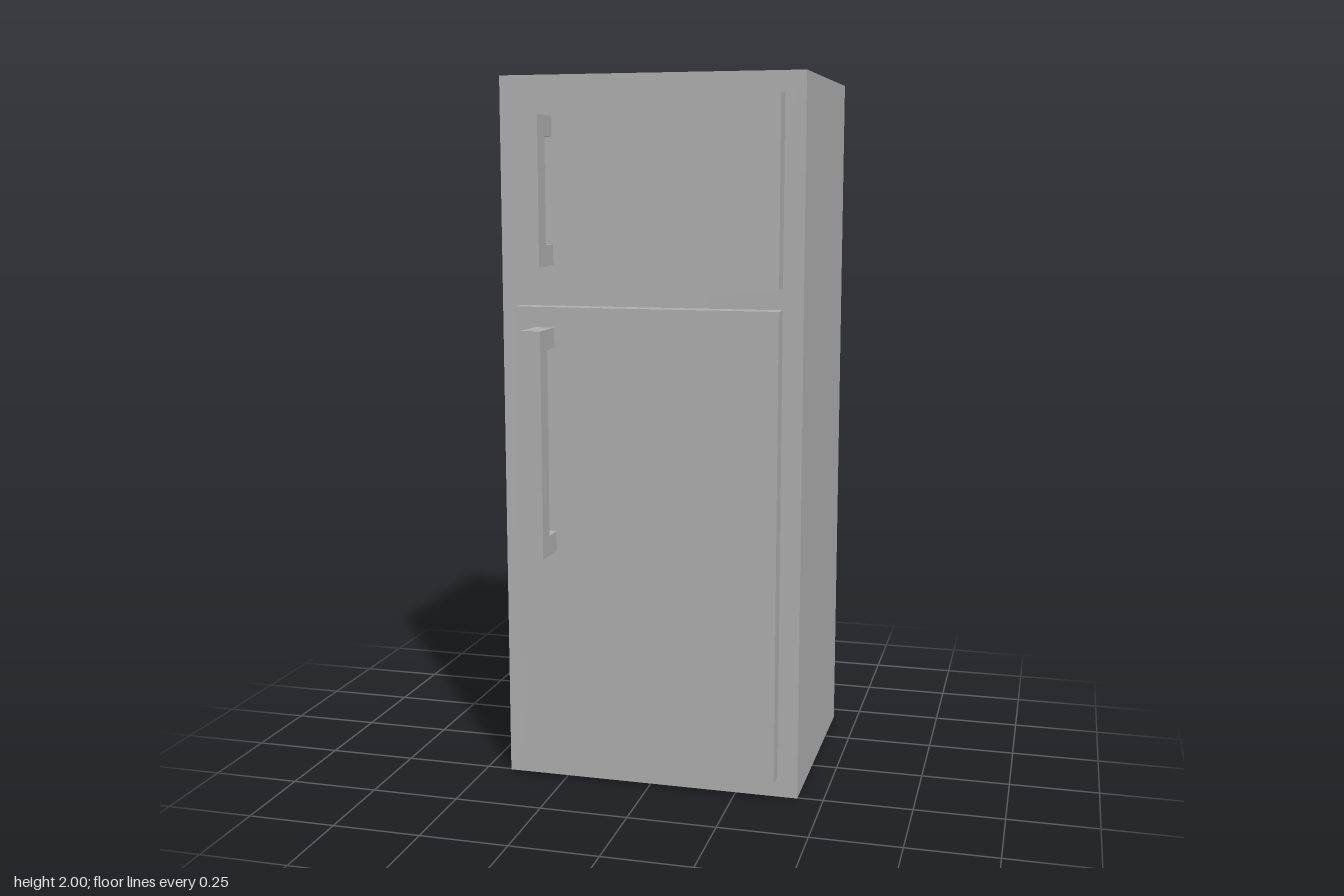
import * as THREE from 'three';

export function createModel() {
  const group = new THREE.Group();
  group.name = 'refrigerator';
  const grey = new THREE.MeshStandardMaterial({ color: 0xb0b0b0 });
  grey.name = 'grey enamel';

  const add = (name, geometry) => {
    const mesh = new THREE.Mesh(geometry, grey);
    mesh.name = name;
    group.add(mesh);
  };

  // Box given by its minimum and maximum corners
  const box = (x0, x1, y0, y1, z0, z1) =>
    new THREE.BoxGeometry(x1 - x0, y1 - y0, z1 - z0)
      .translate((x0 + x1) / 2, (y0 + y1) / 2, (z0 + z1) / 2);

  const bodyFront = 0.255, doorFront = 0.312, handleFront = 0.427;
  const handleRight = -0.313, thick = 0.056;

  // Bracket-shaped handle: side profile extruded across x
  const handle = (y0, y1) => {
    const inner = handleFront - thick;
    const profile = new THREE.Shape([
      [doorFront, y0], [handleFront, y0], [handleFront, y1], [doorFront, y1],
      [doorFront, y1 - thick], [inner, y1 - thick],
      [inner, y0 + thick], [doorFront, y0 + thick],
    ].map(([z, y]) => new THREE.Vector2(z, y)));
    return new THREE.ExtrudeGeometry(profile, { depth: thick, bevelEnabled: false })
      .rotateY(-Math.PI / 2)
      .translate(handleRight + thick, 0, 0);
  };

  add('cabinet', box(-0.427, 0.427, 0, 2, -0.427, bodyFront));

  // Doors with their handles
  add('fridgeDoor', box(-0.37, 0.37, 0.058, 1.372, bodyFront, doorFront));
  add('fridgeHandle', handle(0.687, 1.316));
  add('freezerDoor', box(-0.37, 0.37, 1.43, 1.942, bodyFront, doorFront));
  add('freezerHandle', handle(1.487, 1.887));

  return group;
}
